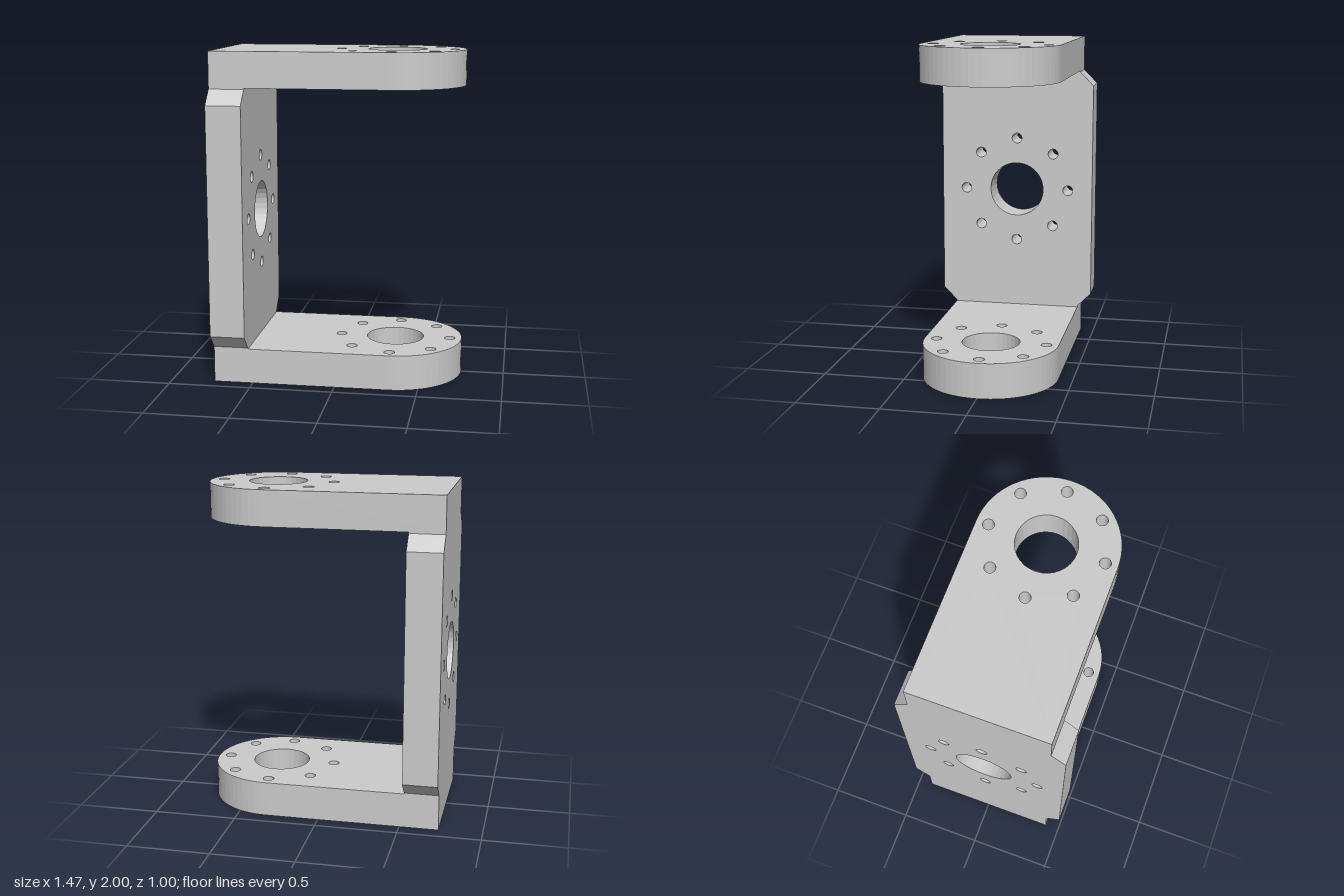
import * as THREE from 'three';

const BACK = -0.737, END = 0.737;      // extent along x
const ARM_R = 0.413, ARM_T = 0.213;    // arm half width and thickness
const WEB_T = 0.21, WEB_HALF = 0.5;    // web thickness and half width
const HEIGHT = 2;

// Centre bore with a ring of eight bolt holes
function addHolePattern(shape, cx, cy) {
  const hole = (x, y, r) => shape.holes.push(new THREE.Path().absarc(x, y, r, 0, Math.PI * 2, true));
  hole(cx, cy, 0.176);
  for (let i = 0; i < 8; i++) {
    const a = (i * Math.PI) / 4;
    hole(cx + 0.34 * Math.cos(a), cy + 0.34 * Math.sin(a), 0.033);
  }
}

function extrude(shape, depth) {
  return new THREE.ExtrudeGeometry(shape, { depth, bevelEnabled: false, curveSegments: 16 });
}

export function createModel() {
  const group = new THREE.Group();
  const material = new THREE.MeshStandardMaterial({ color: 0xcccccc });
  const add = (name, geometry) => {
    const mesh = new THREE.Mesh(geometry, material);
    mesh.name = name;
    group.add(mesh);
    return mesh;
  };

  // Arms: flat plates with a rounded free end
  const cx = END - ARM_R;
  const arm = new THREE.Shape();
  arm.moveTo(BACK, -ARM_R);
  arm.lineTo(cx, -ARM_R);
  arm.absarc(cx, 0, ARM_R, -Math.PI / 2, Math.PI / 2, false);
  arm.lineTo(BACK, ARM_R);
  arm.closePath();
  addHolePattern(arm, cx, 0);
  const armGeometry = extrude(arm, ARM_T).rotateX(-Math.PI / 2);
  add('lowerArm', armGeometry);
  add('upperArm', armGeometry).position.y = HEIGHT - ARM_T;

  // Web: wider upright plate with chamfered corners, joining the arms
  const mid = HEIGHT / 2;
  const top = mid - ARM_T, shoulder = 0.78, side = 0.692;
  const corner = [[WEB_HALF, side], [ARM_R, shoulder], [ARM_R, top]];
  const outline = [
    ...corner,
    ...corner.map(([z, y]) => [-z, y]).reverse(),
    ...corner.map(([z, y]) => [-z, -y]),
    ...corner.map(([z, y]) => [z, -y]).reverse(),
  ];
  const web = new THREE.Shape(outline.map(([z, y]) => new THREE.Vector2(z, y + mid)));
  addHolePattern(web, 0, mid);
  add('web', extrude(web, WEB_T).rotateY(Math.PI / 2)).position.x = BACK;

  return group;
}
